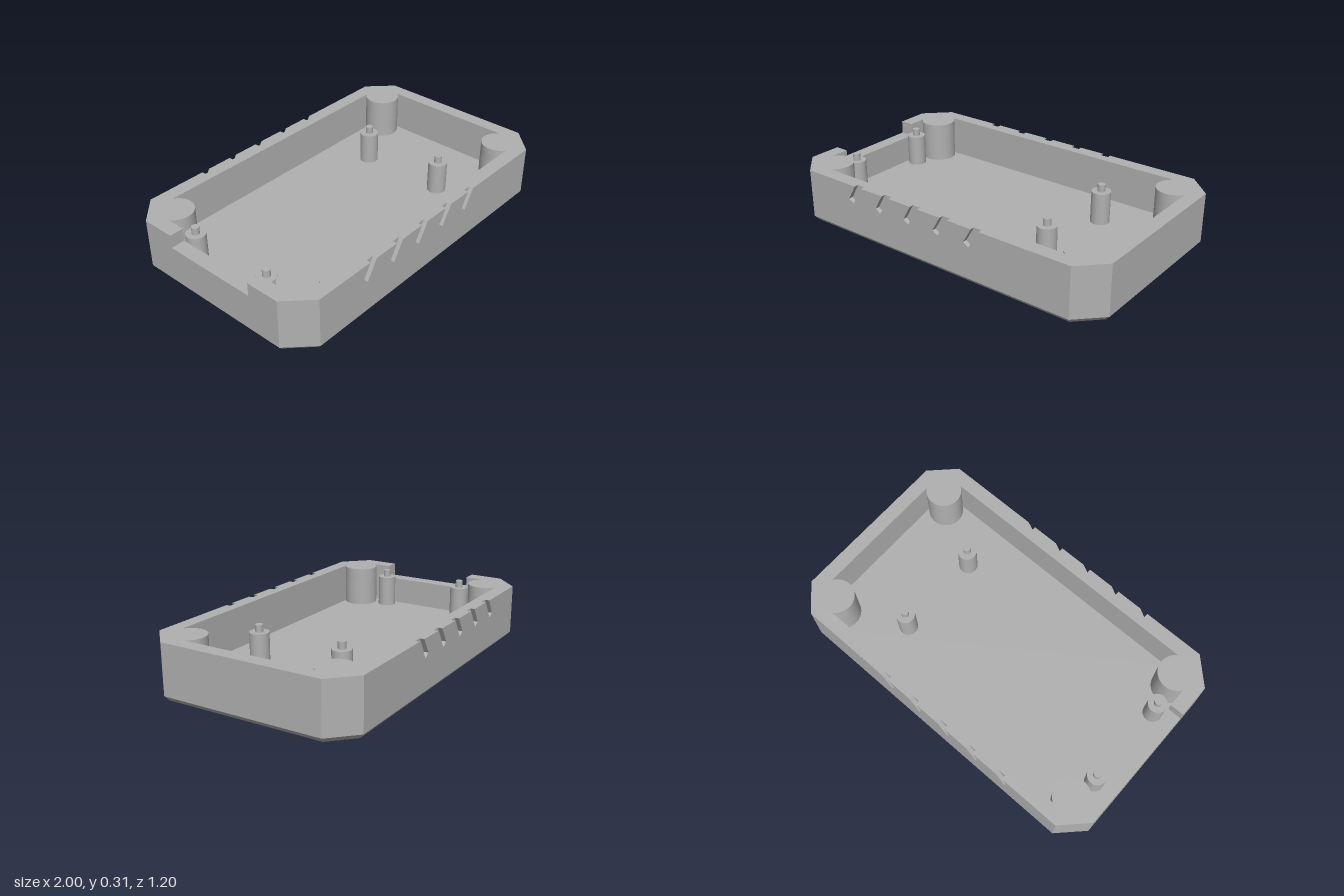
import * as THREE from 'three';
import { toCreasedNormals } from 'three/addons/utils/BufferGeometryUtils.js';

const H = 0.31, FLOOR = 0.078, BEVEL = 0.028, NOTCH_Y = 0.235, NOTCH_Z = 0.275;
const IN_X = 0.92, IN_Z = 0.52;        // cavity half sizes
const GROOVE = 0.025;                  // groove depth
const V = (x, y) => new THREE.Vector2(x, y);

// Octagonal outline, counter-clockwise
function octagon(x, z, c) {
  return [[x, -z + c], [x, z - c], [x - c, z], [-x + c, z],
    [-x, z - c], [-x, -z + c], [-x + c, -z], [x - c, -z]].map(([a, b]) => V(a, b));
}

// Cavity outline with a round boss bulging in at each corner, starting at the left wall
function cavity() {
  const cx = 0.835, cz = 0.435, r = 0.1, n = 24;
  const a0 = -Math.acos((IN_X - cx) / r);
  const a1 = -Math.PI - Math.asin((IN_Z - cz) / r);
  const arc = [];
  for (let i = 0; i <= n; i++) {
    const a = a0 + (a1 - a0) * i / n;
    arc.push([cx + r * Math.cos(a), cz + r * Math.sin(a)]);
  }
  const pts = [];
  for (const [sx, sz] of [[-1, -1], [1, -1], [1, 1], [-1, 1]]) {
    const run = arc.map(([x, z]) => V(x * sx, z * sz));
    pts.push(...(sx * sz < 0 ? run.reverse() : run));
  }
  return pts;
}

// Plan shape extruded upwards between two heights
function slab(shape, y0, y1) {
  const g = new THREE.ExtrudeGeometry(shape, { depth: y1 - y0, bevelEnabled: false });
  g.rotateX(-Math.PI / 2).translate(0, y0, 0);
  return toCreasedNormals(g, 0.5);
}

// Bevelled underside: lower ring joined to a wider upper ring
function bevelBase() {
  const lo = octagon(0.975, 0.575, 0.12), hi = octagon(1, 0.6, 0.135);
  const pos = [];
  const put = (p, y) => pos.push(p.x, y, -p.y);
  for (let i = 0; i < 8; i++) {
    const j = (i + 1) % 8;
    put(lo[i], 0); put(lo[j], 0); put(hi[j], BEVEL);
    put(lo[i], 0); put(hi[j], BEVEL); put(hi[i], BEVEL);
    pos.push(0, 0, 0); put(lo[j], 0); put(lo[i], 0);
  }
  const g = new THREE.BufferGeometry();
  g.setAttribute('position', new THREE.Float32BufferAttribute(pos, 3));
  g.computeVertexNormals();
  return g;
}

// Outer panel of a long wall, with slanted grooves open at the rim
function groovedPanel() {
  const pts = [V(-0.865, FLOOR), V(0.865, FLOOR), V(0.865, H)];
  for (let i = 4; i >= 0; i--) {
    const x = -0.511 + 0.2 * i;
    pts.push(V(x + 0.047, H), V(x - 0.018, 0.204), V(x - 0.05, 0.225), V(x, H));
  }
  pts.push(V(-0.865, H));
  return new THREE.ExtrudeGeometry(new THREE.Shape(pts), { depth: GROOVE, bevelEnabled: false });
}

export function createModel() {
  const group = new THREE.Group();
  const grey = new THREE.MeshStandardMaterial({ color: 0xb0b0b0 });
  grey.name = 'grey plastic';
  const add = (name, geo, x = 0, y = 0, z = 0) => {
    const m = new THREE.Mesh(geo, grey);
    m.name = name;
    m.position.set(x, y, z);
    group.add(m);
  };

  // Tray bottom
  add('bevelledBase', bevelBase());
  add('floor', slab(new THREE.Shape(octagon(1, 0.6, 0.135)), BEVEL, FLOOR));

  // Walls, recessed on the long sides to receive the grooved panels
  const zi = 0.6 - GROOVE;
  const outer = [[-1, -0.465], [-0.865, -0.6], [-0.865, -zi], [0.865, -zi], [0.865, -0.6], [1, -0.465],
    [1, 0.465], [0.865, 0.6], [0.865, zi], [-0.865, zi], [-0.865, 0.6], [-1, 0.465]].map(([a, b]) => V(a, b));
  const lower = new THREE.Shape(outer);
  lower.holes.push(new THREE.Path(cavity()));
  add('lowerWall', slab(lower, FLOOR, NOTCH_Y));

  // Upper wall is open at the notch in the -x end
  const upper = new THREE.Shape([
    V(-1, -NOTCH_Z), ...outer, V(-1, NOTCH_Z), V(-IN_X, NOTCH_Z),
    ...cavity().reverse(), V(-IN_X, -NOTCH_Z)]);
  add('upperWall', slab(upper, NOTCH_Y, H));

  // Grooved side panels
  add('frontPanel', groovedPanel(), 0, 0, zi);
  add('backPanel', groovedPanel(), 0, 0, -0.6);

  // Standoffs with locating pins
  const post = new THREE.CylinderGeometry(0.053, 0.053, 0.26 - FLOOR, 32);
  const pin = new THREE.CylinderGeometry(0.021, 0.021, 0.04, 24);
  for (const x of [-0.86, 0.495]) {
    for (const z of [-0.254, 0.254]) {
      add('standoff', post, x, (0.26 + FLOOR) / 2, z);
      add('standoffPin', pin, x, 0.28, z);
    }
  }
  return group;
}
